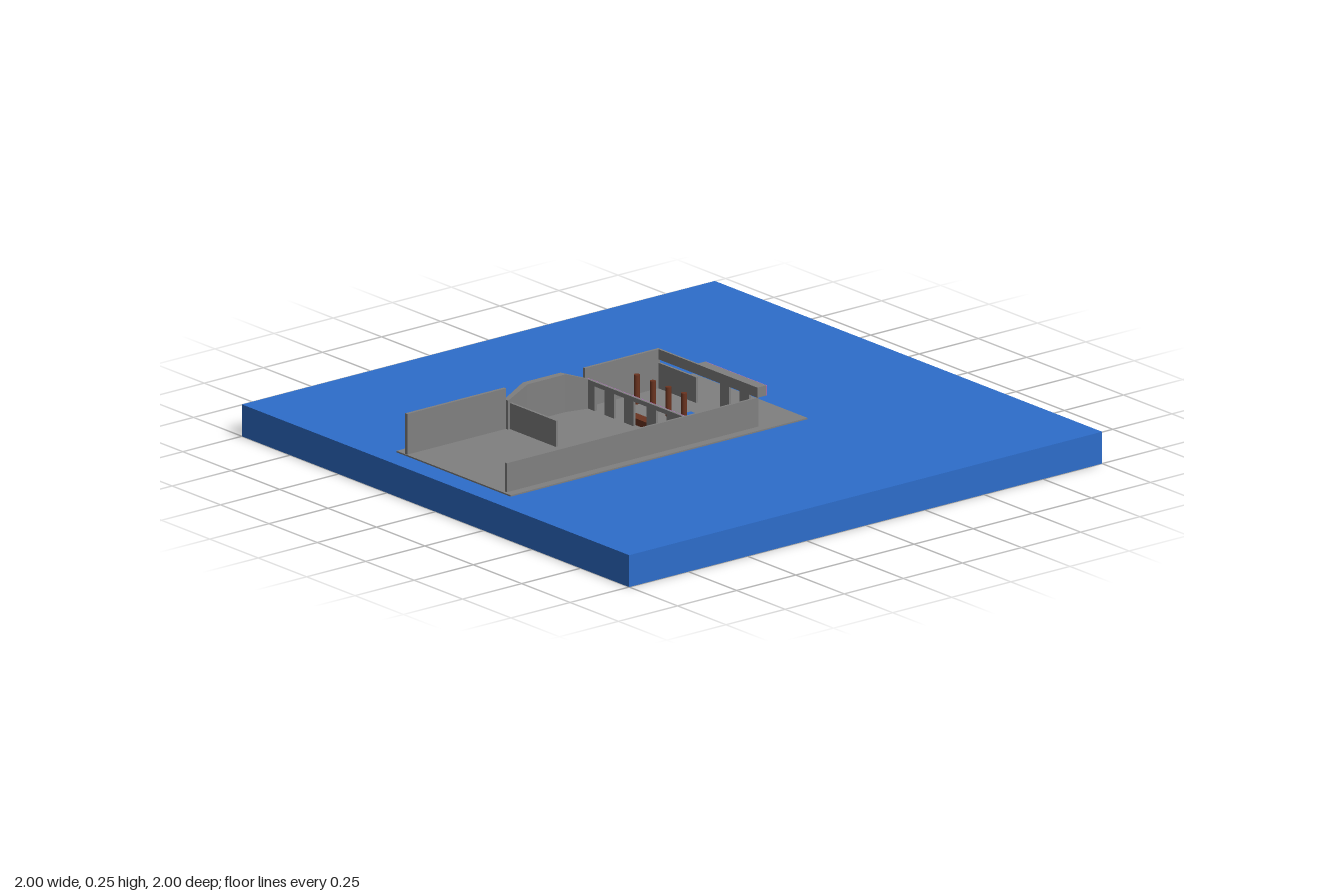
import * as THREE from 'three';

const mat = (name, color) => {
  const m = new THREE.MeshStandardMaterial({ color });
  m.name = name;
  return m;
};

export function createModel() {
  const group = new THREE.Group();
  const blue = mat('blue', 0x2d6dcb);
  const grey = mat('grey', 0x808080);
  const purple = mat('purple', 0xc060d0);
  const brown = mat('brown', 0x6b3420);

  const add = (name, geometry, material) => {
    const mesh = new THREE.Mesh(geometry, material);
    mesh.name = name;
    group.add(mesh);
    return mesh;
  };
  // Box given by its extents along each axis
  const box = (name, material, [x0, x1], [y0, y1], [z0, z1]) =>
    add(name, new THREE.BoxGeometry(x1 - x0, y1 - y0, z1 - z0), material)
      .position.set((x0 + x1) / 2, (y0 + y1) / 2, (z0 + z1) / 2);

  const ground = 0.11, floor = 0.115;

  // Ground block and floor slab
  box('groundBlock', blue, [-1, 1], [0, ground], [-1, 1]);
  box('floorSlab', grey, [-0.92, 0.335], [ground, floor], [-0.3, 0.29]);

  // Checkered floor tiles
  const rows = [0, 0.055, 0.105, 0.155, 0.208, 0.25];
  const columns = [-0.145, -0.075, 0, 0.08];
  for (let r = 0; r < 5; r++)
    for (let c = 0; c < 3; c++)
      if ((r + c) % 2 === 0)
        box('floorTile', blue, [columns[c], columns[c + 1]], [floor, floor + 0.001], [rows[r], rows[r + 1]]);

  // Straight outer and inner walls
  box('frontWall', grey, [-0.91, 0.155], [floor, 0.215], [0.25, 0.258]);
  box('backLongWall', grey, [-0.917, -0.5], [floor, 0.255], [-0.258, -0.247]);
  box('backRoomWall', grey, [-0.16, 0.157], [floor, 0.25], [-0.263, -0.253]);
  box('dividerWall', grey, [-0.491, -0.482], [floor, 0.205], [-0.24, 0]);

  // Side wall with a narrow slot under its upper band
  box('sideWall', grey, [0.15, 0.158], [floor, 0.203], [-0.255, -0.058]);
  box('sideWallBand', grey, [0.15, 0.158], [0.215, 0.25], [-0.255, -0.058]);

  // Bowed back wall, built from cross-sections [x, outer z, inner z, top]
  const sections = [
    [-0.5, -0.256, -0.236, 0.215], [-0.4, -0.282, -0.257, 0.245],
    [-0.24, -0.282, -0.257, 0.245], [-0.155, -0.256, -0.236, 0.215],
  ];
  const rings = sections.map(([x, zo, zi, top]) =>
    [[x, floor, zo], [x, floor, zi], [x, top, zi], [x, top, zo]]);
  const points = [];
  const quad = (a, b, c, d) => points.push(...a, ...b, ...c, ...a, ...c, ...d);
  for (let i = 0; i < 3; i++)
    for (let k = 0; k < 4; k++) {
      const n = (k + 1) % 4;
      quad(rings[i][k], rings[i + 1][k], rings[i + 1][n], rings[i][n]);
    }
  quad(...rings[0]);
  quad(...[...rings[3]].reverse());
  const bow = new THREE.BufferGeometry();
  bow.setAttribute('position', new THREE.Float32BufferAttribute(points, 3));
  bow.computeVertexNormals();
  add('bowedWall', bow, grey);

  // Lintels with purple outer faces
  box('sideLintel', grey, [0.15, 0.188], [0.215, 0.25], [-0.058, 0.258]);
  box('sideLintelFace', purple, [0.188, 0.19], [0.2152, 0.2498], [-0.058, 0.258]);
  box('innerLintel', grey, [-0.16, -0.151], [0.2, 0.215], [-0.253, 0.25]);
  box('innerLintelFace', purple, [-0.151, -0.149], [0.2002, 0.2148], [-0.253, 0.25]);

  // Square pillars below the lintels
  for (const z of [0.19, 0.088]) box('sidePillar', grey, [0.15, 0.158], [floor, 0.215], [z - 0.024, z + 0.024]);
  for (const z of [0.19, 0.088, -0.028, -0.128, -0.228])
    box('innerPillar', grey, [-0.16, -0.151], [floor, 0.2], [z - 0.024, z + 0.024]);

  // Round posts
  for (const z of [-0.178, -0.095, -0.015, 0.066])
    add('post', new THREE.CylinderGeometry(0.01, 0.01, 0.1, 16), brown).position.set(-0.003, floor + 0.05, z);

  // Low bench
  box('bench', brown, [-0.147, -0.11], [floor, 0.138], [-0.067, 0.058]);

  return group;
}
